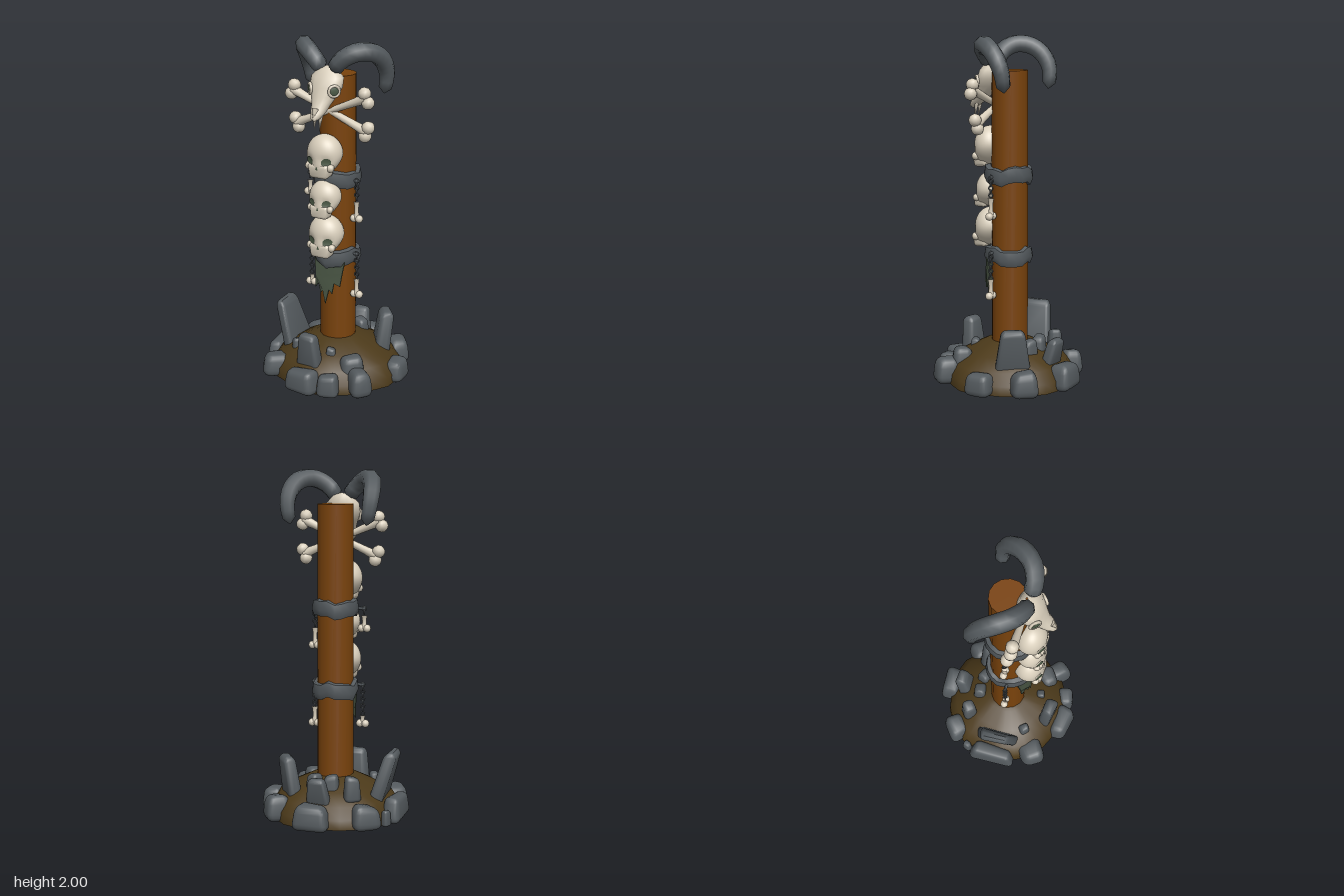
import * as THREE from 'three';
import { mergeVertices, toCreasedNormals } from 'three/addons/utils/BufferGeometryUtils.js';
import { RoundedBoxGeometry } from 'three/addons/geometries/RoundedBoxGeometry.js';

const mat = (name, color) => {
  const m = new THREE.MeshStandardMaterial({ color });
  m.name = name;
  return m;
};
const V = (x, y, z) => new THREE.Vector3(x, y, z);
const flat = (points) => points.map(([x, y]) => new THREE.Vector2(x, y));

// Moves every vertex by a rule, then rebuilds smooth or creased normals
function reshape(geo, rule, crease = 0) {
  const p = geo.attributes.position, v = V(0, 0, 0);
  for (let i = 0; i < p.count; i++) {
    rule(v.fromBufferAttribute(p, i), i);
    p.setXYZ(i, v.x, v.y, v.z);
  }
  geo.deleteAttribute('uv');
  geo.deleteAttribute('normal');
  const g = mergeVertices(geo, 1e-5);
  g.computeVertexNormals();
  return crease ? toCreasedNormals(g, crease) : g;
}

export function createModel() {
  const root = new THREE.Group();
  root.name = 'skullTotem';
  const stone = mat('stone', 0x555b5f), wood = mat('wood', 0x7a430c), dirt = mat('dirt', 0x4c3a1a);
  const bone = mat('bone', 0xd9cfbc), moss = mat('mossGreen', 0x4c5a46);
  const cloth = mat('clothGreen', 0x465241);
  cloth.side = THREE.DoubleSide;
  const add = (parent, name, geo, material, x = 0, y = 0, z = 0) => {
    const m = new THREE.Mesh(geo, material);
    m.name = name;
    m.position.set(x, y, z);
    parent.add(m);
    return m;
  };
  const group = (name, x = 0, y = 0, z = 0) => {
    const g = new THREE.Group();
    g.name = name;
    g.position.set(x, y, z);
    root.add(g);
    return g;
  };

  // Wooden post
  add(root, 'post', new THREE.CylinderGeometry(0.104, 0.107, 1.76, 14), wood, 0, 0.93, 0);

  // Dirt mound with a stone underside
  const wobble = (v) => {
    const a = Math.atan2(v.z, v.x), k = 1 + 0.025 * Math.sin(5 * a + 1) + 0.015 * Math.sin(9 * a);
    v.x *= k;
    v.z *= k;
  };
  const slope = [[0.385, 0.005], [0.38, 0.06], [0.335, 0.125], [0.24, 0.18], [0.13, 0.235], [0, 0.25]];
  add(root, 'mound', reshape(new THREE.LatheGeometry(flat(slope), 28), wobble), dirt);
  add(root, 'underside', reshape(new THREE.CircleGeometry(0.39, 28).rotateX(Math.PI / 2).translate(0, 0.004, 0), wobble), stone);

  // Rock facing outward at an angle and distance from the post, tapered and uneven
  const rockGroup = group('rocks');
  function rock(name, degrees, dist, w, d, y0, y1, lean = 0) {
    const a = THREE.MathUtils.degToRad(degrees), c = Math.cos(a), s = Math.sin(a);
    const h = y1 - y0, tall = h > 0.19;
    add(rockGroup, name, reshape(new RoundedBoxGeometry(w, h, d, 2, Math.min(w, h, d) * 0.32), (v) => {
      const t = v.y / h + 0.5;
      const drop = tall ? 0.36 * h * t * t * Math.abs(v.x * v.z) / (w * d) : 0.1 * h * t * Math.sin(degrees + v.x * 14);
      const px = v.x * (tall ? 1.06 - 0.42 * t * t : 1.06 - 0.24 * t) * (1 + 0.1 * Math.sin(degrees + v.z * 20));
      const pz = v.z * (tall ? 1.05 - 0.1 * t : 1.06 - 0.24 * t) * (1 + 0.1 * Math.sin(degrees * 3 + v.x * 20));
      const out = dist + pz + lean * (2 * t - 1);
      v.set(px * c + out * s, Math.max(0, y0 + h * t - drop), out * c - px * s);
    }, 0.7), stone);
  }
  // Rim: angle, width, depth
  const rim = [[-4, 0.2, 0.12], [21, 0.12, 0.1], [49, 0.14, 0.15], [96, 0.15, 0.13], [136, 0.17, 0.14],
    [181, 0.22, 0.13], [-132, 0.16, 0.14], [-87, 0.26, 0.1], [-48, 0.15, 0.16]];
  for (const [a, w, d] of rim) rock('rimRock', a, 0.375, w, d, 0, 0.14);
  // Standing slabs: angle, distance, width, depth, top, lean
  const slabs = [[-85, 0.306, 0.25, 0.075, 0.405, 0.045], [127, 0.27, 0.18, 0.085, 0.37, 0.02], [-6, 0.282, 0.15, 0.075, 0.33, 0.01],
    [182, 0.285, 0.14, 0.075, 0.285, 0.025], [46, 0.286, 0.13, 0.12, 0.215, 0]];
  for (const [a, dist, w, d, top, lean] of slabs) rock('standingRock', a, dist, w, d, 0.08, top, lean);
  // Small stones: angle, distance, size, top
  const pebbles = [[19, 0.21, 0.06, 0.225], [-47, 0.25, 0.07, 0.215], [-138, 0.27, 0.09, 0.285],
    [-166, 0.18, 0.1, 0.265], [161, 0.185, 0.1, 0.26], [-112, 0.4, 0.05, 0.1]];
  for (const [a, dist, size, top] of pebbles) rock('smallRock', a, dist, size, size * 0.9, Math.max(0, top - 0.15), top);

  // Wrapped bands around the post
  const bandProfile = [[0.1, -0.045], [0.122, -0.046], [0.136, -0.01], [0.128, 0.04], [0.1, 0.047]];
  const band = (name, y, tilt) => add(root, name, reshape(new THREE.LatheGeometry(flat(bandProfile), 18), (v) => {
    const a = Math.atan2(v.z, v.x);
    v.y += 0.01 * Math.sin(3 * a + y * 9) + 0.007 * Math.sin(7 * a) + tilt * v.z;
    if (v.z > 0) v.z *= 1.15;
  }, 0.8), stone, 0, y, 0);
  band('upperBand', 1.215, -0.03);
  band('lowerBand', 0.745, 0.02);

  // Bone between two points, with a pair of knobs at one or both ends
  const shaft = [[0.95, -0.5], [0.75, -0.36], [0.6, -0.1], [0.6, 0.12], [0.75, 0.36], [0.95, 0.5]];
  function makeBone(parent, name, a, b, r, ends) {
    const len = a.distanceTo(b), g = new THREE.Group();
    g.name = name;
    add(g, 'shaft', new THREE.LatheGeometry(flat(shaft), 10).scale(r, len, r), bone);
    for (const e of ends) for (const s of [-1, 1]) {
      add(g, 'knob', new THREE.SphereGeometry(r * 1.15, 10, 8), bone, s * r * 0.85, e * len * 0.5, 0);
    }
    g.position.copy(a).lerp(b, 0.5);
    g.quaternion.setFromUnitVectors(V(0, 1, 0), b.clone().sub(a).normalize());
    parent.add(g);
  }
  const crossed = group('crossedBones');
  for (const s of [-1, 1]) makeBone(crossed, 'crossBone', V(-s * 0.225, 1.515, 0.075), V(s * 0.235, 1.71, 0.1), 0.032, [-1, 1]);

  // Skulls: one rule shapes the head and lays the sockets on it
  const skullSurface = (v) => {
    const s = THREE.MathUtils.smoothstep(-v.y, -0.1, 0.9);
    const dent = v.z > 0 ? Math.exp(-((Math.abs(v.x) - 0.48) ** 2 + (v.y + 0.18) ** 2) * 22) : 0;
    v.set(v.x * 0.106 * (1 - 0.12 * s), v.y * 0.113, v.z * 0.09 + 0.03 * s - 0.014 * dent);
  };
  const patch = (cx, cy, rx, ry, sides) => reshape(new THREE.CircleGeometry(1, sides, Math.PI / 2), (v) => {
    const x = cx + v.x * rx, y = cy + v.y * ry;
    skullSurface(v.set(x, y, Math.sqrt(1 - x * x - y * y)));
    v.z += 0.006;
  });
  const skulls = [[-0.005, 1.375, 0.135, 1, 0.1], [-0.003, 1.12, 0.135, 0.9, 0], [0, 0.9, 0.13, 1, 0.05]];
  skulls.forEach(([x, y, z, size, tilt], i) => {
    const g = group('skull' + (i + 1), x, y, z);
    g.scale.setScalar(size);
    g.rotation.x = tilt;
    add(g, 'cranium', reshape(new THREE.SphereGeometry(1, 32, 24), skullSurface), bone);
    add(g, 'jaw', reshape(new RoundedBoxGeometry(0.125, 0.085, 0.085, 2, 0.02), (v) => {
      v.x *= 1 + v.y * 2;
    }, 0.8), bone, 0, -0.078, 0.055);
    for (const s of [-1, 1]) {
      add(g, 'eyeSocket', patch(s * 0.5, -0.18, 0.25, 0.22, 10), moss);
      add(g, 'cheek', new THREE.SphereGeometry(0.024, 8, 6), bone, s * 0.068, -0.056, 0.066);
    }
    add(g, 'noseHole', patch(0, -0.5, 0.1, 0.14, 3), moss);
  });

  // Horned skull: elliptical sections from crown to muzzle [y, z, half width, half depth]
  const head = group('hornedSkull');
  const sections = [[1.87, 0.1, 0.005, 0.005], [1.855, 0.105, 0.055, 0.04], [1.81, 0.115, 0.098, 0.065], [1.76, 0.13, 0.1, 0.068],
    [1.715, 0.15, 0.078, 0.065], [1.67, 0.18, 0.056, 0.052], [1.63, 0.215, 0.043, 0.045], [1.6, 0.245, 0.027, 0.03], [1.585, 0.255, 0.002, 0.003]];
  const seg = 14;
  add(head, 'face', reshape(new THREE.CylinderGeometry(1, 1, 1, seg, sections.length - 1, true), (v, i) => {
    const [y, z, w, d] = sections[Math.floor(i / (seg + 1))];
    v.set(v.x * w, y, z + v.z * d);
  }), bone);
  const spike = (name, x, y, z, r, h, tilt) => {
    add(head, name, new THREE.ConeGeometry(r, h, 6).rotateX(Math.PI), bone, x, y, z).rotation.x = tilt;
  };
  spike('noseTip', 0, 1.625, 0.258, 0.022, 0.06, -0.6);
  for (const s of [-1, 1]) {
    spike('tooth', s * 0.017, 1.575, 0.225, 0.016, 0.09, -0.15);
    const eye = add(head, 'eyeSocket', new THREE.SphereGeometry(0.028, 10, 8).scale(1, 1, 0.25), moss, s * 0.078, 1.745, 0.176);
    eye.rotation.y = s * 0.8;
    const brow = add(head, 'eyeRim', new THREE.TorusGeometry(0.03, 0.009, 6, 12), bone, s * 0.077, 1.745, 0.174);
    brow.rotation.y = s * 0.8;

    // Curling horn with a tapered radius
    const curve = new THREE.CatmullRomCurve3([V(s * 0.025, 1.835, 0.11), V(s * 0.09, 1.91, 0.112), V(s * 0.16, 1.95, 0.075),
      V(s * 0.215, 1.945, 0.005), V(s * 0.245, 1.895, -0.065), V(s * 0.25, 1.81, -0.11), V(s * 0.23, 1.695, -0.115)]);
    const n = 16;
    add(head, 'horn', reshape(new THREE.TubeGeometry(curve, n, 1, 8), (v, i) => {
      const t = Math.floor(i / 9) / n, c = curve.getPointAt(t);
      const r = t === 0 || t === 1 ? 0.001 : 0.045 + 0.012 * Math.sin(Math.PI * t) - 0.008 * t;
      v.sub(c).multiplyScalar(r).add(c);
    }), stone);
  }

  // Chains with hanging bones: x, chain top, chain bottom, bone bottom
  const charms = [[-0.165, 1.215, 1.175, 1.1], [0.142, 1.21, 1.09, 0.985], [-0.157, 0.77, 0.59, 0.54], [0.145, 0.77, 0.62, 0.52]];
  charms.forEach(([x, top, bottom, end], i) => {
    const g = group('charm' + (i + 1));
    for (let y = top, k = 0; y >= bottom; y -= 0.021, k++) {
      const link = add(g, 'chainLink', new THREE.TorusGeometry(0.012, 0.0045, 5, 8), stone, x, y, 0.035);
      link.rotation.y = (k % 2) * Math.PI / 2 + 0.4;
    }
    const hook = add(g, 'hook', new THREE.CylinderGeometry(0.009, 0.009, 0.06, 6), stone, x * 0.88, top, 0.035);
    hook.rotation.z = Math.PI / 2;
    makeBone(g, 'hangingBone', V(x, end, 0.035), V(x, bottom, 0.035), 0.02, [-1]);
  });

  // Ragged cloth under the lower band
  const rag = [[-0.1, 0.73], [-0.085, 0.62], [-0.082, 0.55], [-0.055, 0.585], [-0.035, 0.53], [-0.02, 0.55], [0, 0.47],
    [0.022, 0.56], [0.04, 0.535], [0.05, 0.6], [0.08, 0.58], [0.09, 0.66], [0.1, 0.73]];
  const ragGeometry = new THREE.ExtrudeGeometry(new THREE.Shape(flat(rag)), { depth: 0.008, bevelEnabled: false });
  add(root, 'raggedCloth', reshape(ragGeometry, (v) => {
    v.z += 0.13 - 4 * v.x * v.x + 0.05 * (0.73 - v.y);
  }, 0.6), cloth);
  return root;
}
